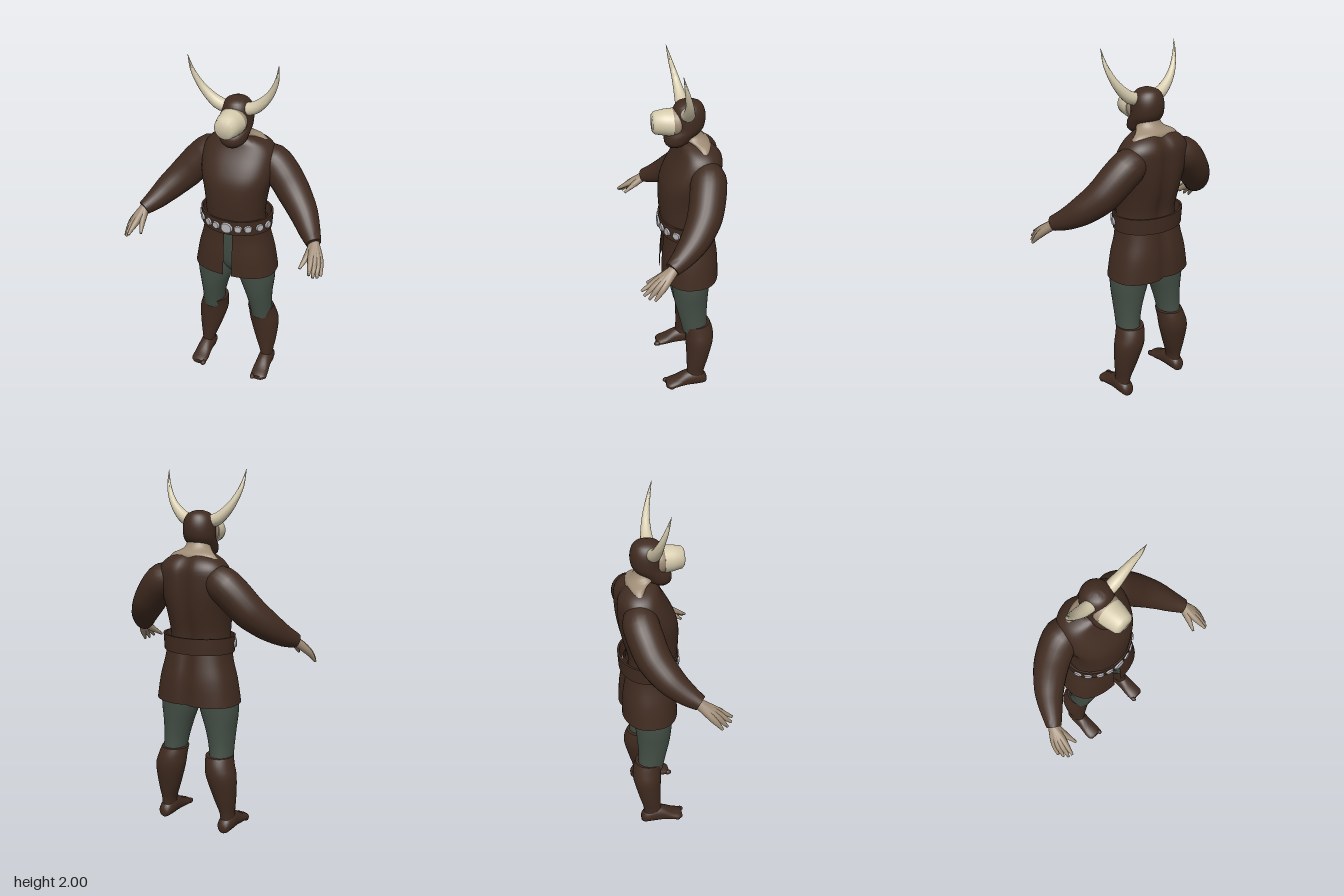
import * as THREE from 'three';
import { toCreasedNormals } from 'three/addons/utils/BufferGeometryUtils.js';

const mat = (name, color, side = THREE.FrontSide) => {
  const m = new THREE.MeshStandardMaterial({ color, side });
  m.name = name;
  return m;
};

// Joins rings of points into a surface, with optional end caps
function skin(rings, closed = true, caps = true) {
  const n = rings[0].length, pos = [], idx = [];
  rings.forEach(r => r.forEach(p => pos.push(p.x, p.y, p.z)));
  const cols = closed ? n : n - 1;
  for (let i = 0; i < rings.length - 1; i++)
    for (let j = 0; j < cols; j++) {
      const a = i * n + j, b = i * n + (j + 1) % n;
      idx.push(a, b, b + n, a, b + n, a + n);
    }
  if (caps) [0, rings.length - 1].forEach((i, end) => {
    const c = rings[i].reduce((s, p) => s.add(p), new THREE.Vector3()).divideScalar(n);
    const k = pos.length / 3;
    pos.push(c.x, c.y, c.z);
    for (let j = 0; j < n; j++) {
      const a = i * n + j, b = i * n + (j + 1) % n;
      if (end) idx.push(a, b, k); else idx.push(b, a, k);
    }
  });
  const g = new THREE.BufferGeometry();
  g.setAttribute('position', new THREE.Float32BufferAttribute(pos, 3));
  g.setIndex(idx);
  g.computeVertexNormals();
  return toCreasedNormals(g, 1.0);
}

// Smooth in-between rows for a loft
function refine(rows, k) {
  if (k < 2) return rows;
  const out = [];
  const at = i => rows[Math.min(Math.max(i, 0), rows.length - 1)];
  for (let i = 0; i < rows.length - 1; i++)
    for (let s = 0; s < k; s++) {
      const t = s / k;
      out.push(rows[i].map((b, c) => {
        const a = at(i - 1)[c], d = at(i + 1)[c], e = at(i + 2)[c];
        return b + 0.5 * t * (d - a + t * (2 * a - 5 * b + 4 * d - e + t * (3 * (b - d) + e - a)));
      }));
    }
  out.push(rows[rows.length - 1]);
  return out;
}

// Rows run upward: [y, centre x, half width, front z, back z]
function loft(rows, { n = 32, e = 1, k = 3, slit = 0, groove = 0, caps = true } = {}) {
  const rings = refine(rows, k).map(([y, cx, hw, zf, zb]) => {
    const start = slit ? Math.asin(Math.min(1, Math.pow(slit / hw, 1 / e))) : 0;
    const count = slit ? n + 1 : n;
    return Array.from({ length: count }, (_, j) => {
      const t = start + (Math.PI * 2 - 2 * start) * j / n;
      const f = v => Math.sign(v) * Math.pow(Math.abs(v), e);
      const x = hw * f(Math.sin(t)), c = Math.cos(t);
      let z = (zf + zb) / 2 + (zf - zb) / 2 * f(c);
      if (c < 0) z += groove * Math.exp(-((x / 0.035) ** 2));
      return new THREE.Vector3(cx + x, y, z);
    });
  });
  return skin(rings, !slit, caps && !slit);
}

// Round limb along a curve: points are [x, y, z, radius]
function sweep(pts, s = 1, n = 16, m = 18) {
  const curve = new THREE.CatmullRomCurve3(pts.map(p => new THREE.Vector3(p[0] * s, p[1], p[2])));
  const fr = curve.computeFrenetFrames(m, false);
  const rings = [];
  for (let i = 0; i <= m; i++) {
    const t = curve.getUtoTmapping(i / m), q = t * (pts.length - 1);
    const a = Math.min(Math.floor(q), pts.length - 2);
    const r = THREE.MathUtils.lerp(pts[a][3], pts[a + 1][3], q - a), c = curve.getPoint(t);
    rings.push(Array.from({ length: n }, (_, j) => {
      const w = j / n * Math.PI * 2;
      return c.clone().addScaledVector(fr.normals[i], r * Math.cos(w)).addScaledVector(fr.binormals[i], r * Math.sin(w));
    }));
  }
  return skin(rings);
}

export function createModel() {
  const group = new THREE.Group();
  const brown = mat('brown cloth', 0x402b20), cloth = mat('skirt cloth', 0x402b20, THREE.DoubleSide);
  const green = mat('green hose', 0x434f45), flesh = mat('skin', 0x9f8c76);
  const bone = mat('bone', 0xd6cbae), silver = mat('silver', 0xb4b4ba);
  const add = (name, geo, material) => {
    const mesh = new THREE.Mesh(geo, material);
    mesh.name = name;
    group.add(mesh);
    return mesh;
  };

  // Torso and clothing
  add('tunic', loft([
    [1.03, 0, 0.175, 0.06, -0.21], [1.12, 0, 0.165, 0.075, -0.205], [1.25, 0, 0.178, 0.083, -0.235],
    [1.34, 0, 0.198, 0.074, -0.25], [1.41, 0, 0.205, 0.045, -0.255], [1.48, 0, 0.2, 0.005, -0.255],
    [1.52, 0, 0.178, -0.015, -0.24], [1.548, 0, 0.14, -0.025, -0.215], [1.57, 0, 0.085, -0.035, -0.18],
  ], { n: 48, e: 0.85, groove: 0.022 }), brown);
  add('skirt', loft([
    [0.75, 0, 0.245, 0.075, -0.25], [0.88, 0, 0.222, 0.07, -0.245], [0.98, 0, 0.195, 0.06, -0.23], [1.07, 0, 0.18, 0.06, -0.215],
  ], { n: 60, e: 0.82, slit: 0.025, groove: 0.02 }), cloth);
  add('hips', loft([
    [0.71, 0, 0.08, -0.04, -0.13], [0.78, 0, 0.15, 0.01, -0.18], [0.9, 0, 0.17, 0.03, -0.19], [1.04, 0, 0.16, 0.04, -0.19],
  ]), green);

  // Belt with a row of round studs
  add('belt', loft([
    [1.035, 0, 0.205, 0.08, -0.245], [1.125, 0, 0.21, 0.085, -0.25], [1.125, 0, 0.198, 0.073, -0.238],
    [1.035, 0, 0.193, 0.068, -0.233], [1.035, 0, 0.205, 0.08, -0.245],
  ], { n: 48, k: 1, caps: false }), brown);
  for (const x of [0, 0.065, 0.117, 0.17, 0.2]) for (const s of x ? [1, -1] : [1]) {
    const a = Math.asin(x / 0.208), r = x ? 0.025 : 0.038;
    const stud = add('beltStud', new THREE.CylinderGeometry(r * 0.8, r, 0.016, 10).rotateX(Math.PI / 2), silver);
    stud.position.set(x * s, 1.08, -0.083 + 0.167 * Math.cos(a));
    stud.rotation.y = s * Math.atan2(Math.sin(a) / 0.208, Math.cos(a) / 0.167);
  }

  // Neck, face, hood and mask
  add('neck', loft([
    [1.54, 0, 0.15, -0.085, -0.195], [1.566, 0, 0.125, -0.085, -0.19], [1.59, 0, 0.08, -0.04, -0.165],
    [1.62, 0, 0.066, -0.02, -0.145], [1.67, 0, 0.065, -0.02, -0.135],
  ]), flesh);
  add('face', new THREE.SphereGeometry(1, 24, 16).scale(0.078, 0.075, 0.055).translate(0, 1.675, -0.015), flesh);
  add('hood', loft([
    [1.54, 0, 0.035, 0.03, -0.04], [1.565, 0, 0.068, 0.048, -0.08], [1.605, 0, 0.08, 0.045, -0.125],
    [1.645, 0, 0.087, 0.01, -0.158], [1.7, 0, 0.088, 0.008, -0.168], [1.745, 0, 0.079, 0, -0.16],
    [1.775, 0, 0.055, -0.02, -0.14], [1.79, 0, 0.015, -0.06, -0.1],
  ]), brown);
  add('mask', loft([
    [0.005, 0, 0.076, -1.6, -1.745], [0.05, 0, 0.07, -1.607, -1.743], [0.1, 0, 0.058, -1.617, -1.735],
    [0.112, 0, 0.045, -1.63, -1.722],
  ], { k: 1 }).rotateX(Math.PI / 2), bone);

  for (const s of [1, -1]) {
    const side = s > 0 ? 'left' : 'right';
    // Horns
    add(side + 'Horn', sweep([
      [0.045, 1.728, -0.06, 0.035], [0.1, 1.745, -0.06, 0.034], [0.15, 1.785, -0.055, 0.027],
      [0.193, 1.84, -0.045, 0.019], [0.228, 1.92, -0.025, 0.011], [0.241, 2, -0.005, 0.001],
    ], s), bone);

    // Arms and hands
    add(side + 'Sleeve', sweep([
      [0.11, 1.44, -0.14, 0.075], [0.185, 1.415, -0.15, 0.096], [0.25, 1.355, -0.135, 0.096], [0.32, 1.275, -0.105, 0.092],
      [0.4, 1.195, -0.04, 0.078], [0.455, 1.14, 0.03, 0.06], [0.5, 1.105, 0.095, 0.041],
    ], s, 24, 24), brown);
    const fingers = [
      ['Thumb', [0.485, 1.06, 0.15], [0.464, 1.015, 0.22]],
      ['Index', [0.512, 1.055, 0.18], [0.525, 1.012, 0.257]],
      ['Middle', [0.53, 1.047, 0.18], [0.545, 0.995, 0.247]],
      ['Ring', [0.545, 1.04, 0.17], [0.562, 0.982, 0.224]],
      ['Little', [0.555, 1.035, 0.15], [0.575, 0.978, 0.195]],
    ];
    for (const [name, k, t] of fingers)
      add(side + name + 'Finger', sweep([[0.5, 1.105, 0.085, 0.027], [...k, 0.019], [...t, 0.007]], s, 10, 10), flesh);

    // Legs and boots
    add(side + 'Leg', loft([
      [0.4, 0.157, 0.063, -0.03, -0.18], [0.5, 0.15, 0.07, -0.008, -0.172], [0.6, 0.14, 0.086, 0.015, -0.176],
      [0.7, 0.128, 0.109, 0.028, -0.184], [0.8, 0.12, 0.112, 0.035, -0.19], [0.95, 0.1, 0.095, 0.03, -0.19],
    ].map(([y, x, ...r]) => [y, x * s, ...r])), green);
    add(side + 'Boot', loft([
      [0.03, 0.2, 0.043, -0.045, -0.16], [0.1, 0.198, 0.039, -0.05, -0.155], [0.2, 0.187, 0.064, -0.05, -0.18],
      [0.33, 0.17, 0.088, -0.045, -0.21], [0.4, 0.157, 0.083, -0.038, -0.208], [0.45, 0.148, 0.077, -0.025, -0.192],
    ].map(([y, x, ...r]) => [y, x * s, ...r])), brown);
    add(side + 'Foot', loft([
      [-0.172, 0.2, 0.018, -0.012, -0.05], [-0.155, 0.2, 0.037, -0.002, -0.08], [-0.1, 0.2, 0.045, 0, -0.11],
      [-0.04, 0.2, 0.045, 0, -0.1], [0.02, 0.201, 0.05, 0, -0.062], [0.06, 0.202, 0.049, 0, -0.045], [0.08, 0.2, 0.035, -0.005, -0.035],
    ].map(([z, x, ...r]) => [z, x * s, ...r])).rotateX(Math.PI / 2), brown);
    for (let i = 0; i < 5; i++) {
      const r = i ? 0.011 : 0.016;
      add(side + 'Toe', new THREE.SphereGeometry(r, 12, 8).scale(1, 1, 1.5)
        .translate(s * (0.168 + i * 0.018), r + 0.003, 0.073 - i * 0.006), brown);
    }
  }
  return group;
}
